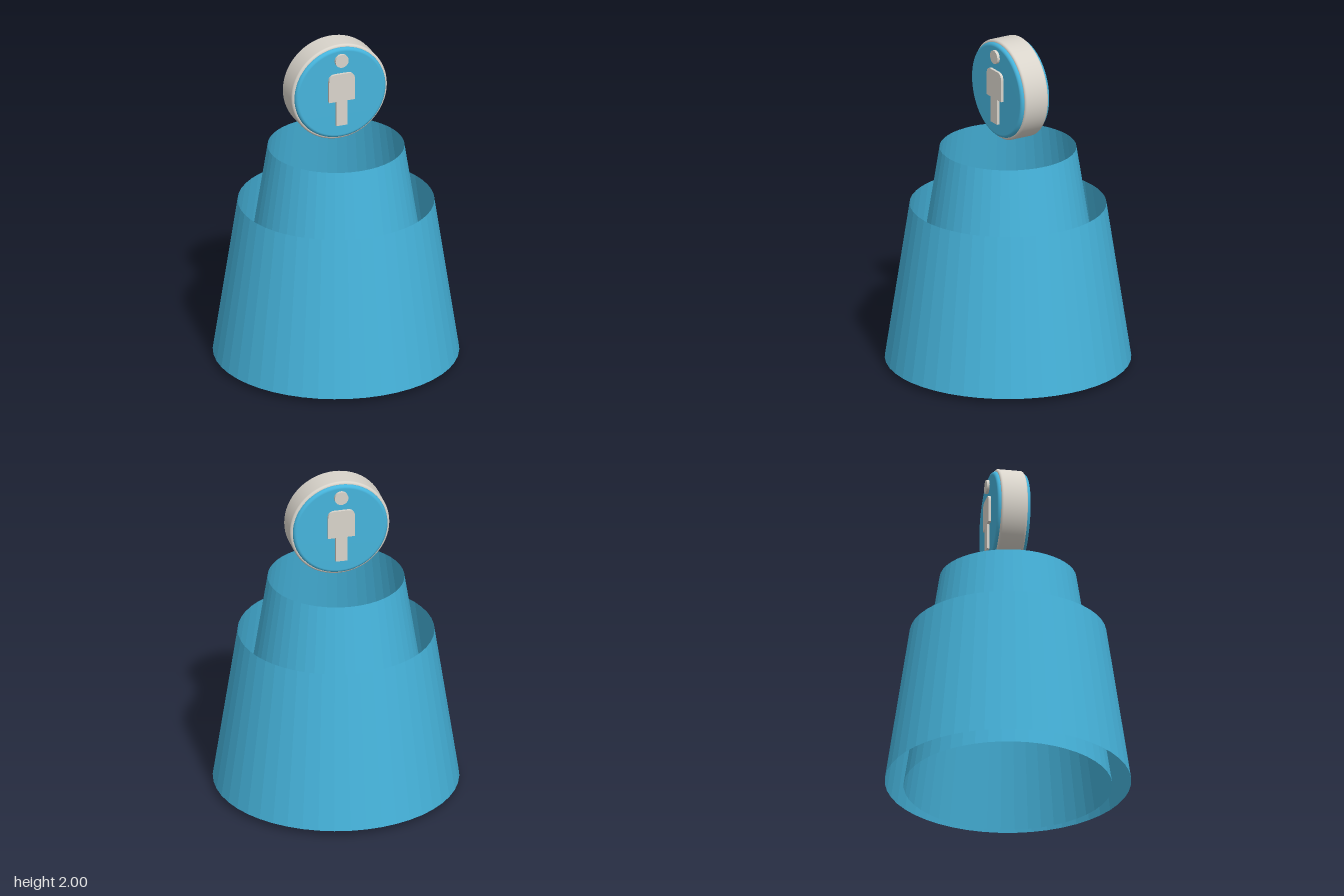
import * as THREE from 'three';

export function createModel() {
  const model = new THREE.Group();
  const blue = new THREE.MeshStandardMaterial({ color: 0x46b4dc, flatShading: true, side: THREE.DoubleSide });
  blue.name = 'sky blue shell';
  const blueSmooth = new THREE.MeshStandardMaterial({ color: 0x46b4dc });
  blueSmooth.name = 'sky blue disc';
  const white = new THREE.MeshStandardMaterial({ color: 0xd9d4cb });
  white.name = 'warm white';

  const add = (name, geometry, material, parent = model) => {
    const mesh = new THREE.Mesh(geometry, material);
    mesh.name = name;
    parent.add(mesh);
    return mesh;
  };

  // Two nested open cone shells
  const shell = (name, rTop, rBottom, y0, y1) => {
    const g = new THREE.CylinderGeometry(rTop, rBottom, y1 - y0, 48, 1, true);
    add(name, g, blue).position.y = (y0 + y1) / 2;
  };
  shell('innerShell', 0.4, 0.61, 0, 1.335);
  shell('outerShell', 0.575, 0.72, 0.03, 0.985);

  // Floating round sign, centred slightly behind the shells' axis
  const sign = new THREE.Group();
  sign.name = 'sign';
  sign.position.set(0, 1.7, -0.018);
  model.add(sign);

  // Disc along z with rounded edges
  const roundedDisc = (radius, half, bevel) => {
    const points = [new THREE.Vector2(0, -half)];
    for (const side of [-1, 1]) {
      for (let i = 0; i <= 5; i++) {
        const a = (side < 0 ? i - 5 : i) / 5 * Math.PI / 2;
        points.push(new THREE.Vector2(
          radius - bevel + bevel * Math.cos(a),
          side * (half - bevel) + bevel * Math.sin(a)));
      }
    }
    points.push(new THREE.Vector2(0, half));
    return new THREE.LatheGeometry(points, 64).rotateX(Math.PI / 2);
  };
  add('rim', roundedDisc(0.3, 0.079, 0.015), white, sign);
  add('disc', roundedDisc(0.285, 0.099, 0.02), blueSmooth, sign);

  // Standing figure outline: rounded shoulders, square arms, joined legs
  const body = new THREE.Shape();
  body.moveTo(-0.035, -0.2);
  body.lineTo(0.035, -0.2);
  body.lineTo(0.035, -0.045);
  body.lineTo(0.081, -0.045);
  body.lineTo(0.081, 0.085);
  body.quadraticCurveTo(0.081, 0.128, 0.04, 0.128);
  body.lineTo(-0.04, 0.128);
  body.quadraticCurveTo(-0.081, 0.128, -0.081, 0.085);
  body.lineTo(-0.081, -0.045);
  body.lineTo(-0.035, -0.045);
  body.closePath();

  // Same raised figure on both faces of the sign
  for (const [name, turn] of [['frontFigure', 0], ['backFigure', Math.PI]]) {
    const figure = new THREE.Group();
    figure.name = name;
    figure.rotation.y = turn;
    sign.add(figure);
    const bodyGeo = new THREE.ExtrudeGeometry(body, { depth: 0.03, bevelEnabled: false, curveSegments: 8 });
    add('figureBody', bodyGeo, white, figure).position.z = 0.085;
    const headGeo = new THREE.CylinderGeometry(0.041, 0.041, 0.032, 32).rotateX(Math.PI / 2);
    add('figureHead', headGeo, white, figure).position.set(0, 0.21, 0.1);
  }
  return model;
}
